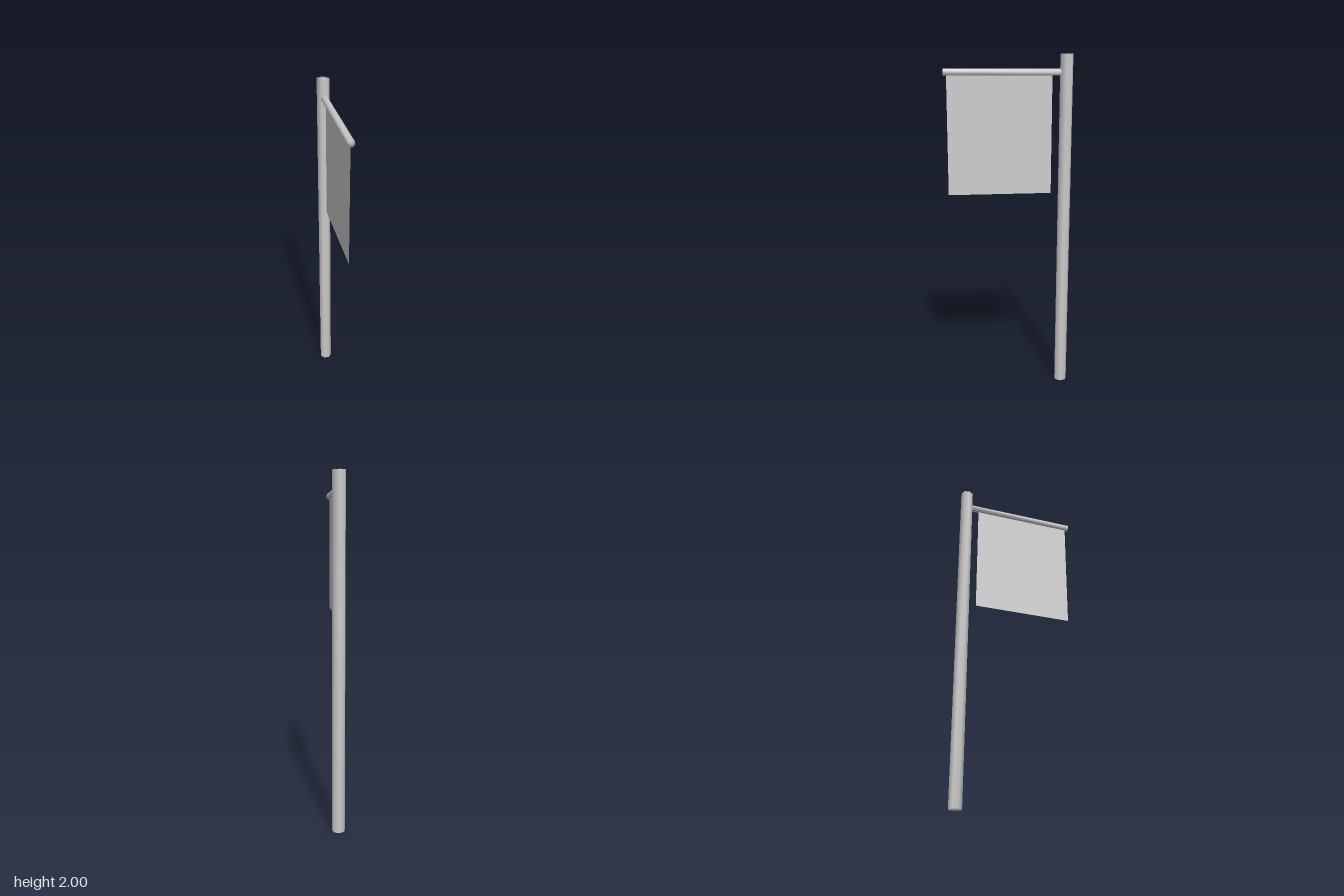
import * as THREE from 'three';
import { mergeVertices } from 'three/addons/utils/BufferGeometryUtils.js';

const grey = new THREE.MeshStandardMaterial({ color: 0xcccccc });
const cloth = new THREE.MeshStandardMaterial({ color: 0xcccccc, side: THREE.DoubleSide });

// Seven-sided bar whose normals blend smoothly over sides and caps
function smoothBar(radius, length) {
  const geometry = new THREE.CylinderGeometry(radius, radius, length, 7);
  geometry.deleteAttribute('normal');
  geometry.deleteAttribute('uv');
  const merged = mergeVertices(geometry);
  merged.computeVertexNormals();
  return merged;
}

function addPart(group, name, geometry, material, x, y, z) {
  const mesh = new THREE.Mesh(geometry, material);
  mesh.name = name;
  mesh.position.set(x, y, z);
  group.add(mesh);
}

export function createModel() {
  const group = new THREE.Group();
  group.name = 'bannerPole';

  // Upright pole at the back, one corner pointing backwards
  addPart(group, 'pole', smoothBar(0.0375, 2).rotateY(Math.PI), grey, 0, 1, -0.33);

  // Horizontal rod reaching forwards, one corner pointing up
  const rodBack = -0.298, rodFront = 0.368;
  addPart(group, 'crossRod', smoothBar(0.02, rodFront - rodBack).rotateX(-Math.PI / 2),
    grey, 0, 1.9, (rodBack + rodFront) / 2);

  // Flat cloth hanging below the rod
  const top = 1.9, bottom = 1.205;
  addPart(group, 'banner', new THREE.PlaneGeometry(0.6, top - bottom).rotateY(Math.PI / 2),
    cloth, 0, (top + bottom) / 2, 0.05);

  return group;
}
